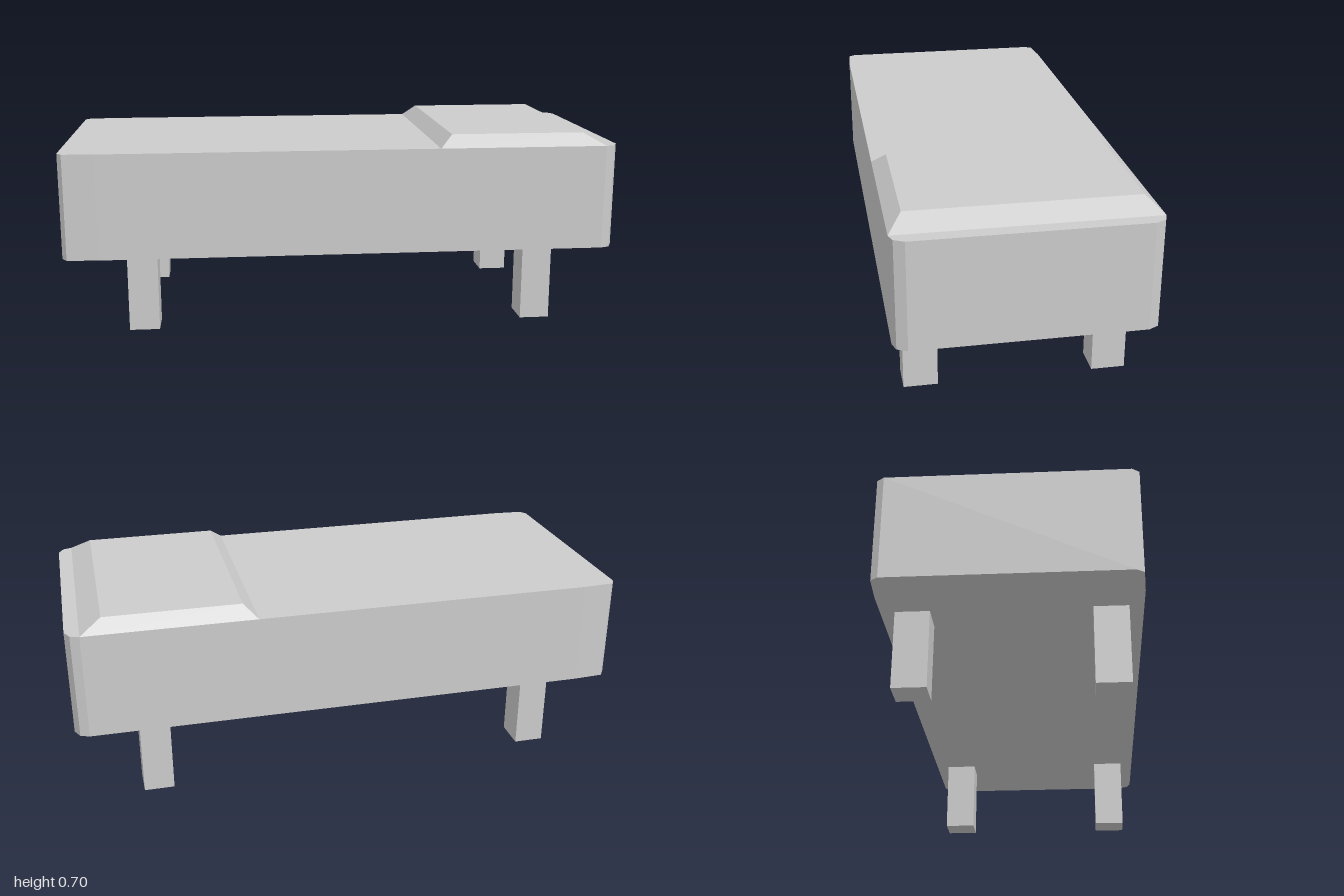
import * as THREE from 'three';

const material = new THREE.MeshStandardMaterial({ color: 0xcccccc, flatShading: true });

function addPart(group, name, geometry, x = 0, y = 0, z = 0) {
  const mesh = new THREE.Mesh(geometry, material);
  mesh.name = name;
  mesh.position.set(x, y, z);
  group.add(mesh);
}

// Bed block: a rectangle in plan with clipped corners, extruded upward
function bedGeometry(height) {
  const half = [[1, 0.39], [0.982, 0.425], [0.95, 0.437], [-0.87, 0.437], [-0.982, 0.43], [-1, 0.405]];
  const mirrored = half.map(([x, z]) => [x, -z]).reverse();
  const outline = [...half, ...mirrored].map(([x, z]) => new THREE.Vector2(x, z));
  const geometry = new THREE.ExtrudeGeometry(new THREE.Shape(outline), { depth: height, bevelEnabled: false });
  return geometry.rotateX(-Math.PI / 2);
}

// Pillow: a thin box whose top is drawn in to form sloping sides
function pillowGeometry(y0, y1) {
  const geometry = new THREE.BoxGeometry(1, 1, 1);
  const p = geometry.attributes.position;
  for (let i = 0; i < p.count; i++) {
    const top = p.getY(i) > 0;
    const x = p.getX(i) > 0 ? (top ? 0.875 : 0.95) : (top ? 0.393 : 0.345);
    p.setXYZ(i, x, top ? y1 : y0, Math.sign(p.getZ(i)) * (top ? 0.388 : 0.437));
  }
  geometry.computeVertexNormals();
  return geometry;
}

export function createModel() {
  const group = new THREE.Group();
  group.name = 'bed';

  addPart(group, 'mattress', bedGeometry(0.379), 0, 0.278, 0);
  addPart(group, 'pillow', pillowGeometry(0.657, 0.7));

  // Four square-cut legs
  const leg = new THREE.BoxGeometry(0.108, 0.278, 0.118);
  for (const [sx, side] of [[-1, 'Right'], [1, 'Left']]) {
    for (const [sz, end] of [[1, 'front'], [-1, 'back']]) {
      addPart(group, `${end}${side}Leg`, leg, sx * 0.723, 0.139, sz * 0.329);
    }
  }
  return group;
}
